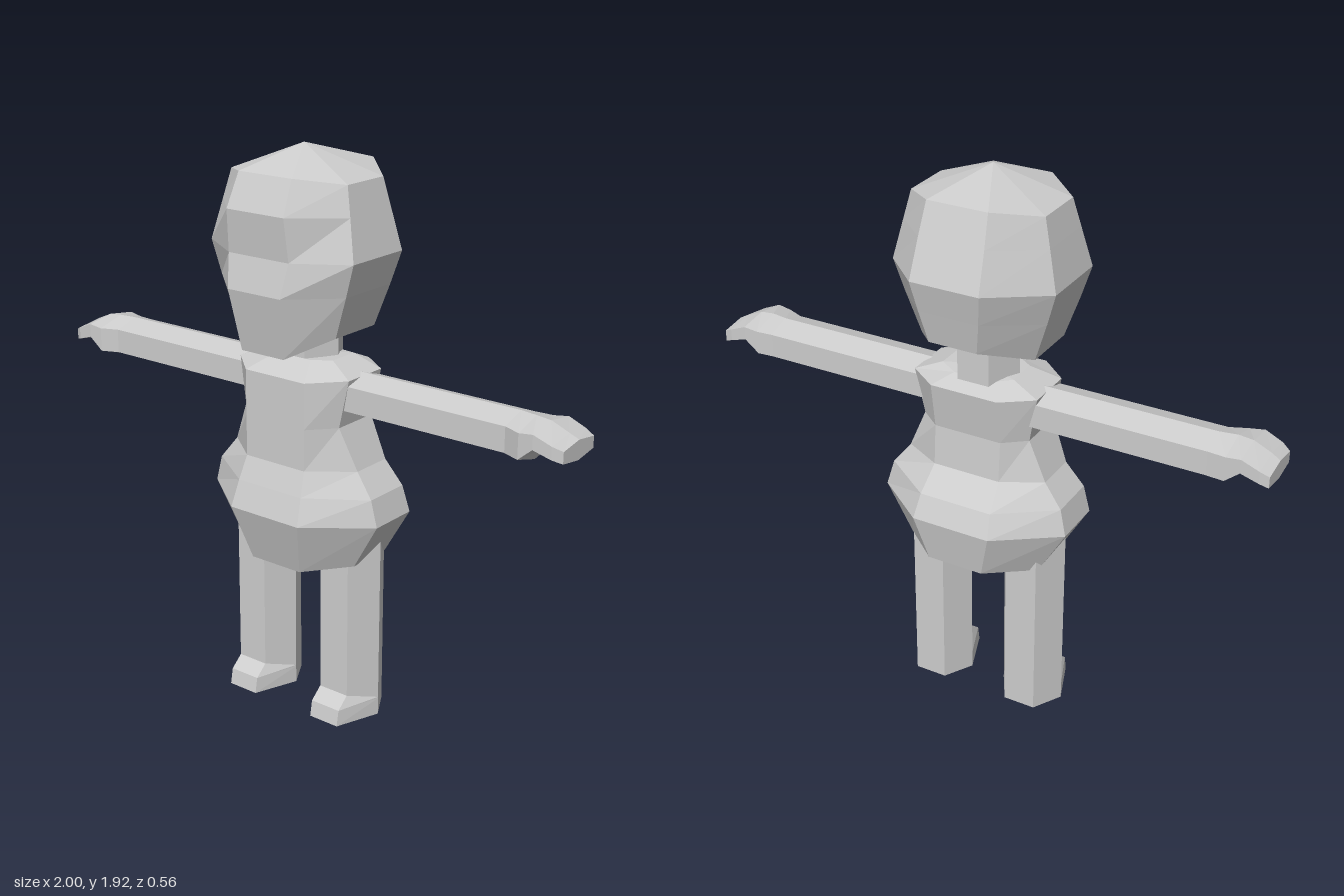
import * as THREE from 'three';

const grey = new THREE.MeshStandardMaterial({ color: 0xcccccc, flatShading: true });
grey.name = 'plain grey';

// Skins a list of rings (each counter-clockwise about the direction of travel) and closes both ends.
// startTip and endTip are optional points for the end fans.
function loft(name, rings, startTip, endTip) {
  const pos = [];
  const tri = (a, b, c) => pos.push(...a, ...b, ...c);
  const centre = (ring) => [0, 1, 2].map((k) => ring.reduce((s, p) => s + p[k], 0) / ring.length);
  const n = rings[0].length;
  const last = rings.length - 1;
  const start = startTip || centre(rings[0]);
  const end = endTip || centre(rings[last]);
  for (let j = 0; j < n; j++) {
    const k = (j + 1) % n;
    tri(start, rings[0][k], rings[0][j]);
    for (let i = 0; i < last; i++) {
      tri(rings[i][j], rings[i][k], rings[i + 1][k]);
      tri(rings[i][j], rings[i + 1][k], rings[i + 1][j]);
    }
    tri(end, rings[last][j], rings[last][k]);
  }
  const geo = new THREE.BufferGeometry();
  geo.setAttribute('position', new THREE.Float32BufferAttribute(pos, 3));
  geo.computeVertexNormals();
  const mesh = new THREE.Mesh(geo, grey);
  mesh.name = name;
  return mesh;
}

// Eight-sided ring: flat front, sides and back, each at its own height.
function octRing(cx, [fx, sx, zf, yf, szf, szb, ys, zb, yb]) {
  return [
    [cx + fx, yf, zf], [cx + sx, ys, szf], [cx + sx, ys, szb], [cx + fx, yb, zb],
    [cx - fx, yb, zb], [cx - sx, ys, szb], [cx - sx, ys, szf], [cx - fx, yf, zf],
  ];
}

// Six-sided ring with corners at the sides.
function hexRing(cx, [zf, yf, ys]) {
  const w = 0.115, f = 0.057, zb = -0.1;
  return [
    [cx + f, yf, zf], [cx + w, ys, 0], [cx + f, ys, zb],
    [cx - f, ys, zb], [cx - w, ys, 0], [cx - f, yf, zf],
  ];
}

// Six-sided arm ring with ridges above and below.
function armRing(x, [zf, zb, top, bottom]) {
  const zm = (zf + zb) / 2, d = (top - bottom) * 0.2;
  return [
    [x, top, zm], [x, top - d, zf], [x, bottom + d, zf],
    [x, bottom, zm], [x, bottom + d, zb], [x, top - d, zb],
  ];
}

export function createModel() {
  const model = new THREE.Group();
  model.name = 'figure';

  // Head: chin to crown, with a dent at eye level
  const head = [
    [0.085, 0.205, 0.24, 1.285, 0.13, -0.07, 1.35, -0.225, 1.41],
    [0.105, 0.253, 0.28, 1.49, 0.142, -0.087, 1.49, -0.25, 1.52],
    [0.12, 0.287, 0.255, 1.6, 0.15, -0.1, 1.6, -0.275, 1.625],
    [0.113, 0.255, 0.27, 1.74, 0.126, -0.082, 1.735, -0.228, 1.755],
    [0.105, 0.232, 0.22, 1.85, 0.11, -0.07, 1.83, -0.19, 1.86],
  ].map((r) => octRing(-0.01, r));
  model.add(loft('head', head, [-0.01, 1.34, 0], [-0.01, 1.925, 0.03]));

  // Neck
  model.add(loft('neck', [[0.1, 1.18, 1.18], [0.1, 1.4, 1.4]].map((r) => hexRing(-0.01, r))));

  // Torso: wide hips, narrow waist, sloping shoulders
  const torso = [
    [0.1, 0.245, 0.195, 0.55, 0.09, -0.08, 0.575, -0.21, 0.59],
    [0.14, 0.342, 0.255, 0.74, 0.1, -0.08, 0.74, -0.24, 0.75],
    [0.13, 0.318, 0.225, 0.83, 0.1, -0.07, 0.83, -0.205, 0.83],
    [0.12, 0.255, 0.195, 0.91, 0.09, -0.06, 0.91, -0.13, 0.91],
    [0.12, 0.195, 0.195, 1.05, 0.11, -0.06, 1.05, -0.12, 1.05],
    [0.12, 0.225, 0.195, 1.205, 0.1, -0.07, 1.21, -0.145, 1.21],
    [0.07, 0.13, 0.1, 1.25, 0.06, -0.05, 1.25, -0.08, 1.24],
  ].map((r) => octRing(0, r));
  model.add(loft('torso', torso, [0, 0.51, 0.03]));

  for (const [side, s] of [['left', 1], ['right', -1]]) {
    // Leg with the foot drawn forward at its base
    const leg = [
      [0.155, 0, 0], [0.145, 0.055, 0.06], [0.1, 0.093, 0.065], [0.1, 0.68, 0.68],
    ].map((r) => hexRing(s * 0.18 - 0.01, r));
    model.add(loft(side + 'Leg', leg));

    // Arm and drooping hand
    const arm = [
      [0.12, [0.1, -0.07, 1.218, 1.08]],
      [0.8, [0.1, -0.07, 1.218, 1.08]],
      [0.86, [0.125, -0.075, 1.218, 1.08]],
      [0.91, [0.128, -0.078, 1.213, 1.135]],
      [0.97, [0.122, -0.077, 1.187, 1.118]],
      [1.0, [0.105, -0.07, 1.172, 1.108]],
    ].map(([x, r]) => armRing(s * x, r));
    if (s < 0) arm.reverse();
    model.add(loft(side + 'Arm', arm));
  }
  return model;
}
